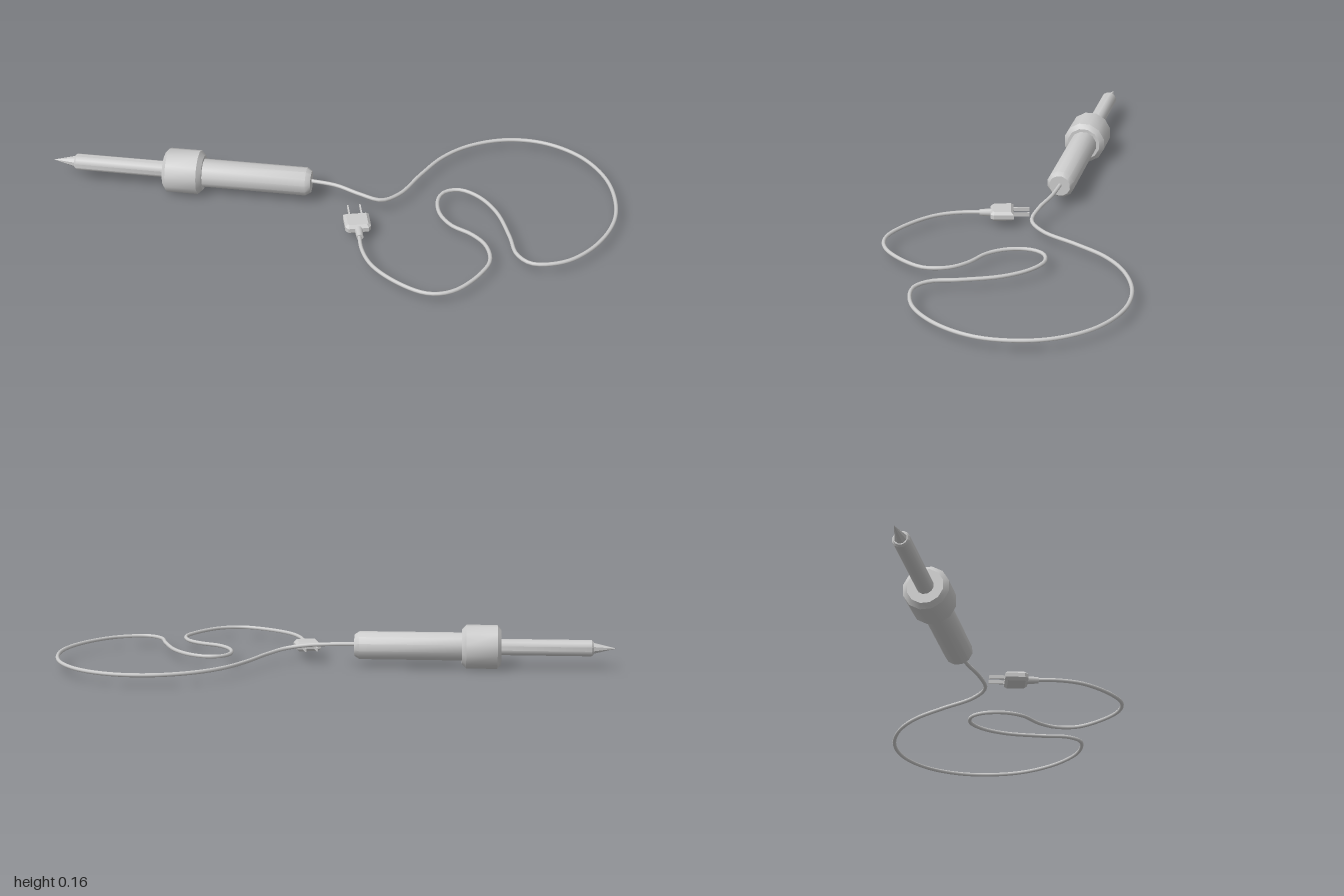
import * as THREE from 'three';
import { toCreasedNormals } from 'three/addons/utils/BufferGeometryUtils.js';

const grey = new THREE.MeshStandardMaterial({ color: 0xcccccc });

function add(parent, name, geometry, x = 0, y = 0, z = 0) {
  const mesh = new THREE.Mesh(geometry, grey);
  mesh.name = name;
  mesh.position.set(x, y, z);
  parent.add(mesh);
  return mesh;
}

// Turned part: profile as [radius, distance from the tip]
function turned(profile, sides = 12) {
  const points = profile.map(([r, s]) => new THREE.Vector2(r, s));
  return toCreasedNormals(new THREE.LatheGeometry(points, sides, Math.PI / sides), 0.6);
}

function createIron() {
  const iron = new THREE.Group();
  iron.name = 'iron';
  add(iron, 'tip', turned([[0, 0], [0.022, 0.088]], 8));
  add(iron, 'barrel', turned([[0, 0.083], [0.024, 0.083], [0.03, 0.09], [0.03, 0.43]]));
  add(iron, 'collar', turned([
    [0, 0.42], [0.064, 0.42], [0.081, 0.434], [0.081, 0.548], [0.064, 0.564], [0, 0.564],
  ]));
  add(iron, 'handle', turned([
    [0.052, 0.55], [0.052, 0.942], [0.04, 0.96], [0, 0.96],
  ]));
  // Lay the turning axis down, pointing from the tip to the cord
  iron.rotation.set(0, THREE.MathUtils.degToRad(15), -Math.PI / 2);
  iron.position.set(-0.998, 0.081, 0.362);
  return iron;
}

function createCord() {
  // Plan path [x, z]; the first points slope down from the handle
  const plan = [
    [-0.09, 0.116], [0.02, 0.098], [0.11, 0.1], [0.19, 0.086], [0.233, 0.015],
    [0.26, -0.13], [0.297, -0.265], [0.366, -0.374], [0.48, -0.462], [0.618, -0.496],
    [0.767, -0.465], [0.896, -0.366], [0.975, -0.22], [0.992, -0.1], [0.965, 0.037],
    [0.9, 0.145], [0.8, 0.2], [0.735, 0.173], [0.68, 0.09], [0.59, -0.025],
    [0.5, -0.086], [0.425, -0.098], [0.38, -0.068], [0.371, -0.015], [0.405, 0.06],
    [0.468, 0.109], [0.553, 0.13], [0.618, 0.168], [0.66, 0.24], [0.655, 0.32],
    [0.612, 0.428], [0.565, 0.474], [0.51, 0.492], [0.404, 0.476], [0.297, 0.428],
    [0.233, 0.364], [0.185, 0.28],
  ];
  const heights = [0.085, 0.081, 0.071, 0.057, 0.048];
  const path = new THREE.CatmullRomCurve3(
    plan.map(([x, z], i) => new THREE.Vector3(x, heights[i] ?? 0.045, z)));
  return new THREE.TubeGeometry(path, 180, 0.0073, 8);
}

function createPlug() {
  const plug = new THREE.Group();
  plug.name = 'plug';

  // Body: a chunky block with bevelled edges, slightly narrower at the cord
  const outline = new THREE.Shape([
    [-0.046, 0.042], [-0.046, -0.03], [-0.036, -0.043],
    [0.036, -0.043], [0.046, -0.03], [0.046, 0.042],
  ].map(([x, y]) => new THREE.Vector2(x, y)));
  const body = new THREE.ExtrudeGeometry(outline, {
    depth: 0.016, bevelEnabled: true, bevelSize: 0.01, bevelOffset: -0.01,
    bevelThickness: 0.01, bevelSegments: 1,
  });
  body.translate(0, 0, -0.008).rotateX(-Math.PI / 2);
  add(plug, 'plugBody', body);

  // Strain relief around the cord
  add(plug, 'strainRelief',
    new THREE.CylinderGeometry(0.015, 0.012, 0.045, 10).rotateX(-Math.PI / 2), 0, 0, 0.06);

  // Two flat blades
  for (const side of [-1, 1]) {
    add(plug, 'blade', new THREE.BoxGeometry(0.005, 0.014, 0.065), side * 0.022, 0, -0.067);
  }

  plug.position.set(0.157, 0.045, 0.228);
  plug.rotation.y = Math.PI / 6;
  return plug;
}

export function createModel() {
  const model = new THREE.Group();
  model.name = 'solderingIron';
  model.add(createIron(), createPlug());
  add(model, 'cord', createCord());
  return model;
}
